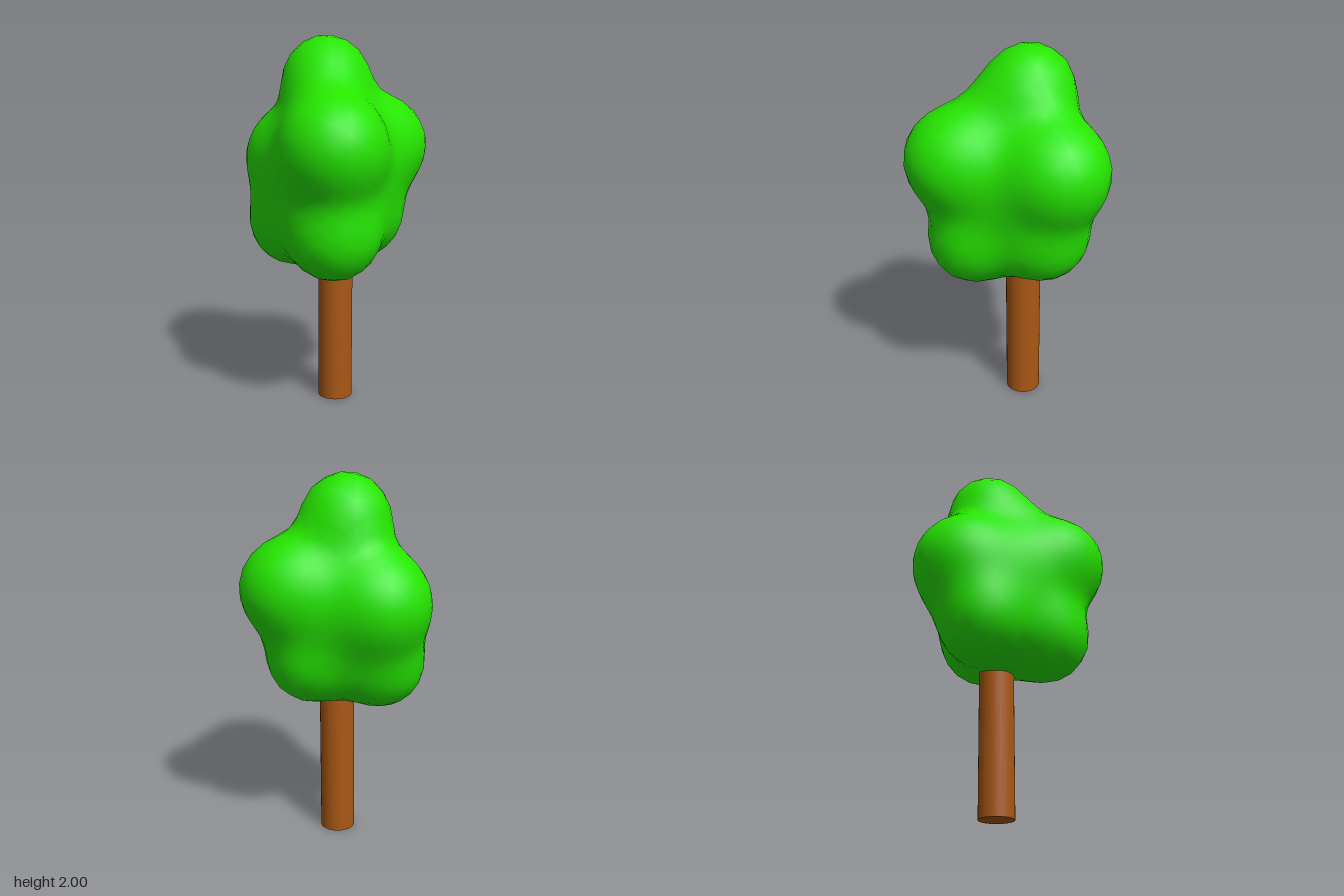
import * as THREE from 'three';
import { mergeVertices } from 'three/addons/utils/BufferGeometryUtils.js';

// Foliage lobes: x, y, z, radius
const LOBES = [
  [0.03, 1.3, 0, 0.32],         // core
  [-0.01, 1.78, -0.06, 0.218],  // crown
  [0.08, 1.68, 0.1, 0.08],      // ridge from crown to upper front
  [-0.235, 1.35, -0.09, 0.25],  // upper left
  [0.205, 1.42, -0.28, 0.25],   // upper back
  [0.225, 1.44, 0.268, 0.257],  // upper front
  [0.187, 0.98, 0.2, 0.225],    // lower front
  [-0.18, 0.985, 0.025, 0.215], // lower left
  [0.14, 1.02, -0.19, 0.212],   // lower back
].map(([x, y, z, r]) => ({ centre: new THREE.Vector3(x, y, z), r }));

const BLEND = 0.08;

// Distance to the lobes, softly blended where they meet
function distance(p) {
  let sum = 0;
  for (const { centre, r } of LOBES) sum += Math.exp(-(p.distanceTo(centre) - r) / BLEND);
  return -BLEND * Math.log(sum);
}

// A sphere whose vertices are pulled inward until they rest on the blended lobes
function foliageGeometry() {
  const origin = new THREE.Vector3(0.01, 1.33, 0);
  let geo = new THREE.IcosahedronGeometry(1, 8);
  geo.deleteAttribute('normal');
  geo.deleteAttribute('uv');
  geo = mergeVertices(geo, 1e-4);
  const pos = geo.attributes.position;
  const dir = new THREE.Vector3();
  const p = new THREE.Vector3();
  for (let i = 0; i < pos.count; i++) {
    dir.fromBufferAttribute(pos, i).normalize();
    let t = 1;
    for (let step = 0; step < 80; step++) {
      const d = distance(p.copy(origin).addScaledVector(dir, t));
      if (Math.abs(d) < 1e-4) break;
      t -= d * 0.9;
    }
    p.copy(origin).addScaledVector(dir, t);
    pos.setXYZ(i, p.x, p.y, p.z);
  }
  geo.computeVertexNormals();
  return geo;
}

export function createModel() {
  const tree = new THREE.Group();
  tree.name = 'tree';

  // Trunk, ending inside the foliage
  const trunk = new THREE.Mesh(
    new THREE.CylinderGeometry(0.095, 0.095, 1.0, 32),
    new THREE.MeshStandardMaterial({ color: 0xaa5814 })
  );
  trunk.name = 'trunk';
  trunk.position.set(0.06, 0.5, -0.045);
  tree.add(trunk);

  // Foliage
  const foliage = new THREE.Mesh(
    foliageGeometry(),
    new THREE.MeshStandardMaterial({ color: 0x26e600 })
  );
  foliage.name = 'foliage';
  tree.add(foliage);

  return tree;
}
